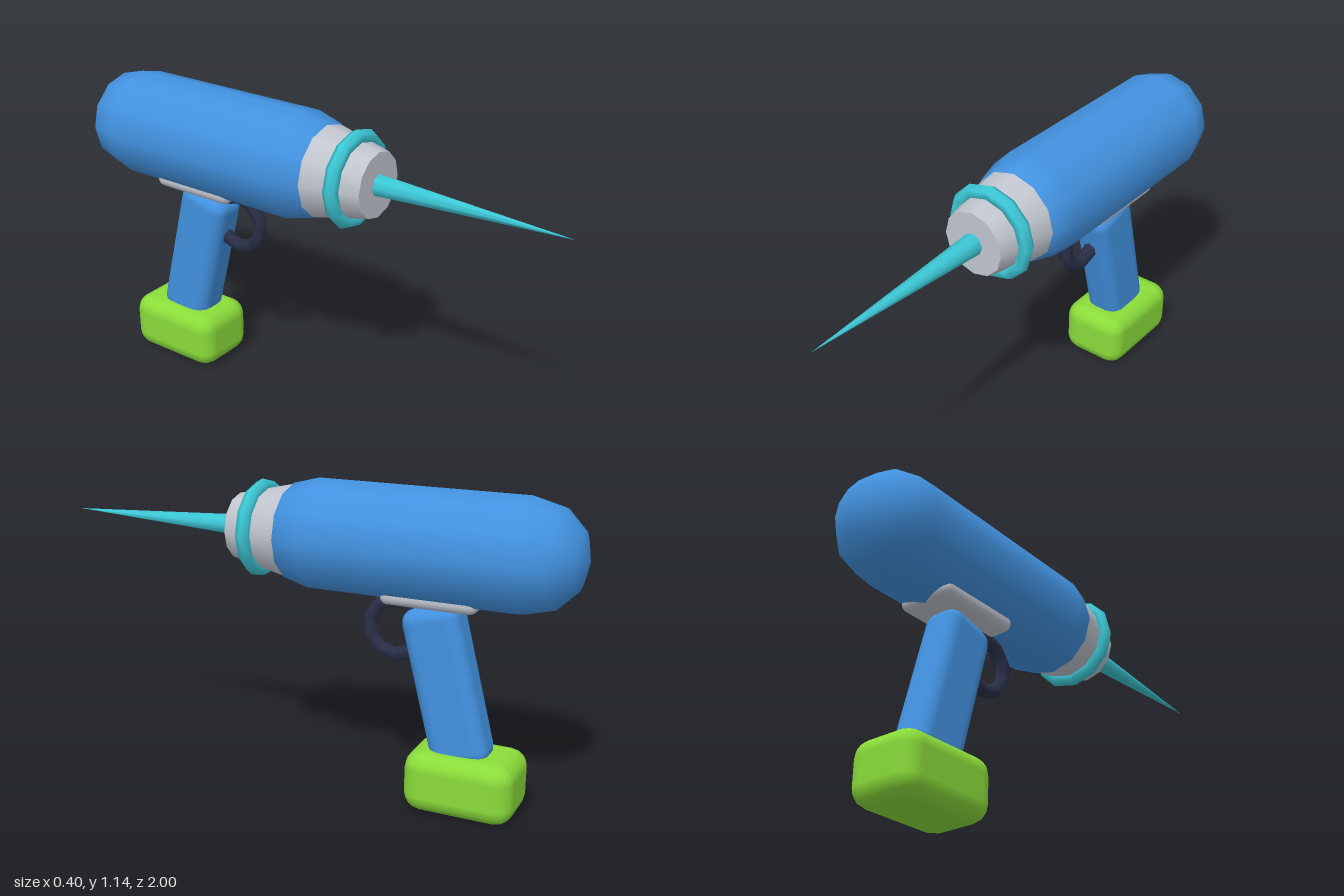
import * as THREE from 'three';
import { RoundedBoxGeometry } from 'three/addons/geometries/RoundedBoxGeometry.js';

const AXIS_Y = 0.945; // height of the drill axis

export function createModel() {
  const group = new THREE.Group();
  const material = (name, color) => {
    const m = new THREE.MeshStandardMaterial({ color });
    m.name = name;
    return m;
  };
  const blue = material('casing blue', 0x4292e0);
  const grey = material('light grey', 0xc0c5ce);
  const teal = material('teal', 0x3cc8d6);
  const green = material('battery green', 0x8adc3a);
  const navy = material('dark navy', 0x2a2f48);

  const add = (name, geometry, mat, y, z) => {
    const mesh = new THREE.Mesh(geometry, mat);
    mesh.name = name;
    mesh.position.set(0, y, z);
    group.add(mesh);
    return mesh;
  };

  // Motor casing: a capsule lying along z
  add('motorCasing', new THREE.CapsuleGeometry(0.2, 0.76, 3, 12).rotateX(Math.PI / 2), blue, AXIS_Y, -0.42);

  // Tapered collar, grip ring and pointed bit
  add('collar', new THREE.CylinderGeometry(0.12, 0.172, 0.23, 12).rotateX(Math.PI / 2), grey, AXIS_Y, 0.165);
  add('gripRing', new THREE.TorusGeometry(0.152, 0.027, 6, 12), teal, AXIS_Y, 0.187);
  add('drillBit', new THREE.ConeGeometry(0.041, 0.74, 8).rotateX(Math.PI / 2), teal, AXIS_Y, 0.63);

  // Mounting plate under the casing
  add('mountingPlate', new RoundedBoxGeometry(0.22, 0.07, 0.35, 2, 0.03), grey, 0.778, -0.485);

  // Tilted handle and battery foot
  const handle = add('handle', new RoundedBoxGeometry(0.15, 0.58, 0.215, 2, 0.05), blue, 0.456, -0.54);
  handle.rotation.x = 0.25;
  add('battery', new RoundedBoxGeometry(0.27, 0.225, 0.4, 2, 0.065), green, 0.1125, -0.617);

  // Trigger guard ring, its rear buried in the handle
  const guard = new THREE.TorusGeometry(0.102, 0.027, 6, 10).rotateZ(Math.PI / 10).rotateY(Math.PI / 2);
  add('triggerGuard', guard, navy, 0.64, -0.34);

  return group;
}
